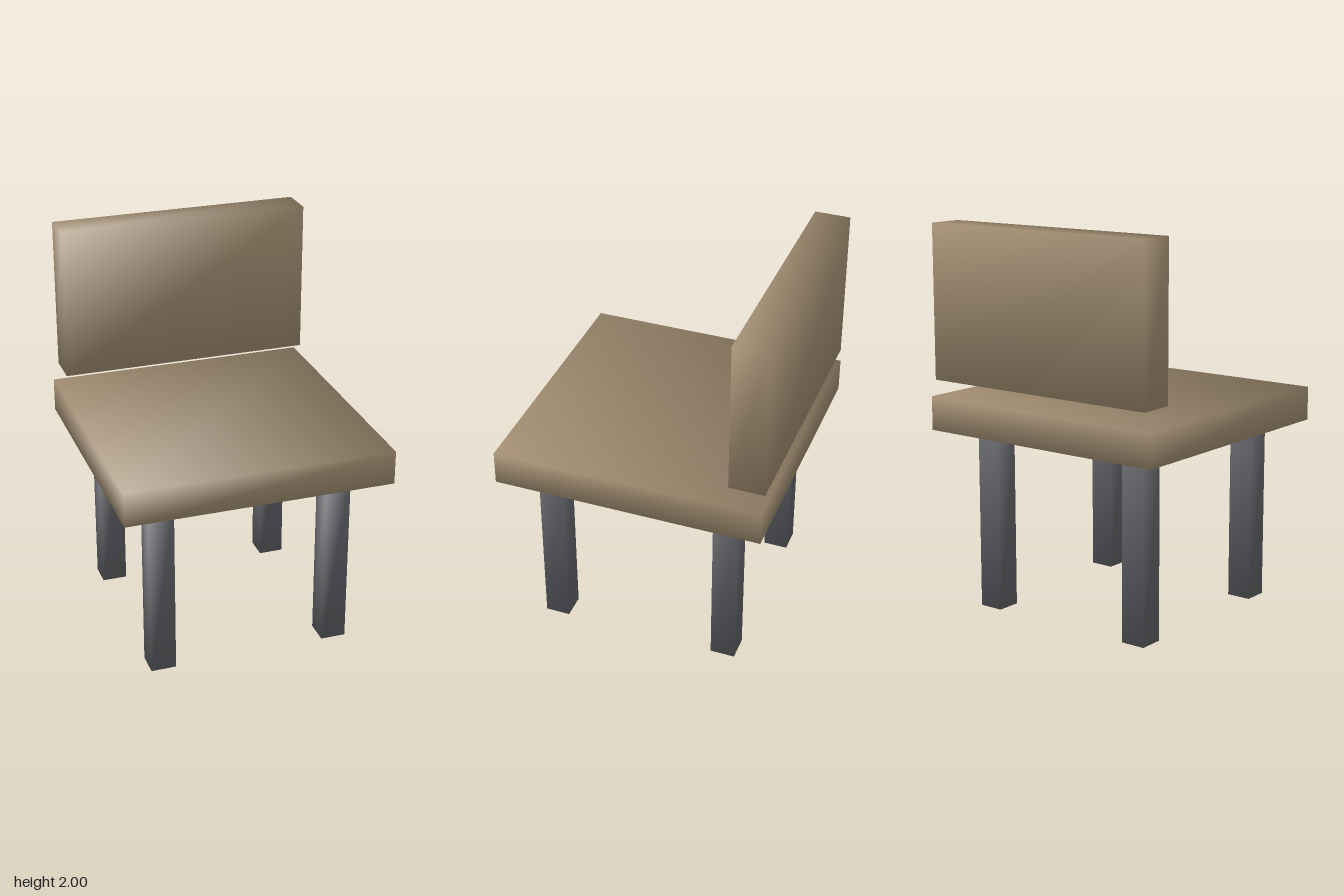
import * as THREE from 'three';

// Box given by its limits, with normals blended across the corners for soft shading
function softBox(name, material, [x0, x1], [y0, y1], [z0, z1]) {
  const geometry = new THREE.BoxGeometry(x1 - x0, y1 - y0, z1 - z0);
  const { position, normal } = geometry.attributes;
  const n = new THREE.Vector3();
  for (let i = 0; i < position.count; i++) {
    n.set(Math.sign(position.getX(i)), Math.sign(position.getY(i)), Math.sign(position.getZ(i))).normalize();
    normal.setXYZ(i, n.x, n.y, n.z);
  }
  const mesh = new THREE.Mesh(geometry, material);
  mesh.name = name;
  mesh.position.set((x0 + x1) / 2, (y0 + y1) / 2, (z0 + z1) / 2);
  return mesh;
}

export function createModel() {
  const chair = new THREE.Group();
  chair.name = 'chair';
  const cushion = new THREE.MeshStandardMaterial({ color: 0xa08c70 });
  const metal = new THREE.MeshStandardMaterial({ color: 0x606266 });

  // Seat slab and the backrest floating above its rear edge
  chair.add(softBox('seat', cushion, [-0.692, 0.69], [0.945, 1.12], [-0.688, 0.692]));
  chair.add(softBox('backrest', cushion, [-0.66, 0.655], [1.21, 2], [-0.692, -0.51]));

  // Four square legs
  const sides = { Right: [-0.53, -0.4], Left: [0.395, 0.525] };
  const ends = { front: [0.407, 0.535], back: [-0.523, -0.395] };
  for (const [end, z] of Object.entries(ends)) {
    for (const [side, x] of Object.entries(sides)) {
      chair.add(softBox(`${end}${side}Leg`, metal, x, [0, 0.945], z));
    }
  }
  return chair;
}
